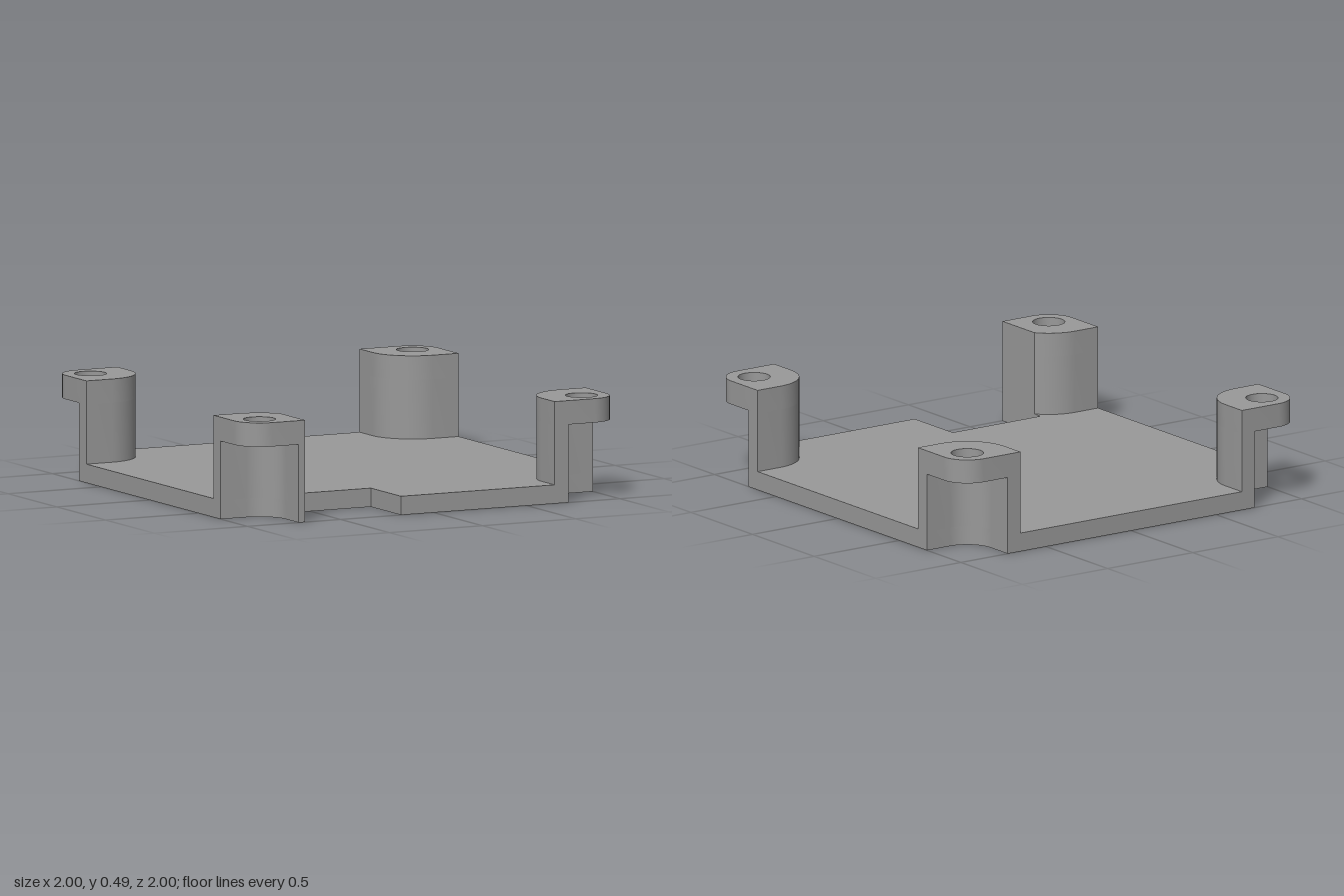
import * as THREE from 'three';
import { mergeGeometries, toCreasedNormals } from 'three/addons/utils/BufferGeometryUtils.js';

const FLOOR = 0.09, POCKET_TOP = 0.375, TOP = 0.49;
const C = 0.865;          // hole centre, measured along both axes
const OUTER = 0.215, INNER = 0.14, ROUND = 0.135, HOLE = 0.077;
const NOTCH = { x0: -0.69, x1: -0.175, z: 0.69 };

// Points are [x, z]; sign = -1 for faces looking up, 1 for faces looking down
function toShape(points, sign, hole) {
  const vec = (list) => list.map(([x, z]) => new THREE.Vector2(x, sign * z));
  const shape = new THREE.Shape(vec(points));
  if (hole) shape.holes.push(new THREE.Path(vec(hole)));
  return shape;
}

// Horizontal face at height y
function face(points, y, up, hole) {
  const g = new THREE.ShapeGeometry(toShape(points, up ? -1 : 1, hole)).toNonIndexed();
  return g.rotateX(up ? -Math.PI / 2 : Math.PI / 2).translate(0, y, 0);
}

// Upright walls around an outline, without caps
function walls(points, y0, y1, hole) {
  const full = new THREE.ExtrudeGeometry(toShape(points, -1, hole),
    { depth: y1 - y0, bevelEnabled: false, steps: 1 });
  const { start, count } = full.groups[1];
  const g = new THREE.BufferGeometry();
  for (const [name, size] of [['position', 3], ['normal', 3], ['uv', 2]]) {
    const data = full.attributes[name].array.slice(start * size, (start + count) * size);
    g.setAttribute(name, new THREE.BufferAttribute(data, size));
  }
  return toCreasedNormals(g.rotateX(-Math.PI / 2).translate(0, y0, 0), 0.5);
}

// Rounded inner edge of a corner, for the +x +z corner, cut off below uMin
function cornerEdge(r, uMin = 0) {
  const tMax = Math.asin(Math.min(1, (C - uMin) / r));
  const pts = [[1, C - r]];
  for (let i = 0; i <= 16; i++) {
    const t = (tMax * i) / 16;
    pts.push([C - r * Math.sin(t), C - r * Math.cos(t)]);
  }
  pts.push([Math.max(C - r, uMin), 1]);
  return pts;
}

const mirror = (pts, sx, sz) => pts.map(([u, v]) => [u * sx, v * sz]);
const corners = [[1, 1], [-1, 1], [-1, -1], [1, -1]];
const clipOf = (sx, sz) => (sx < 0 && sz > 0 ? -NOTCH.x0 : 0);

// Plate outline with rounded corner cut-outs and the front notch
function plateOutline(r) {
  const out = [];
  for (const [sx, sz] of corners) {
    const pts = mirror(cornerEdge(r, clipOf(sx, sz)), sx, sz);
    if (sx * sz < 0) pts.reverse();
    if (sx < 0 && sz > 0) {
      out.push([NOTCH.x1, 1], [NOTCH.x1, NOTCH.z], [NOTCH.x0, NOTCH.z]);
      if (r === INNER) out.push([NOTCH.x0, 1]);
      else pts.shift();
    }
    out.push(...pts);
  }
  return out;
}

export function createModel() {
  const model = new THREE.Group();
  const grey = new THREE.MeshStandardMaterial({ color: 0x999999 });
  grey.name = 'grey';

  function add(name, parts) {
    const mesh = new THREE.Mesh(mergeGeometries(parts), grey);
    mesh.name = name;
    model.add(mesh);
  }

  // Base plate: underside, rim and floor between the posts
  const foot = plateOutline(INNER);
  add('basePlate', [
    face(foot, 0, false),
    walls(foot, 0, FLOOR),
    face(plateOutline(OUTER), FLOOR, true),
  ]);

  // Shared corner curves
  const inner = cornerEdge(INNER);
  const rounded = [], hole = [];
  for (let i = 0; i <= 16; i++) {
    const t = (Math.PI / 2) * (i / 16);
    rounded.push([C + ROUND * Math.sin(t), C + ROUND * Math.cos(t)]);
  }
  for (let i = 0; i < 40; i++) {
    const t = (Math.PI * 2 * i) / 40;
    hole.push([C + HOLE * Math.cos(t), C + HOLE * Math.sin(t)]);
  }

  // Corner posts: curved wall around an open pocket, topped by a drilled cap
  for (const [sx, sz] of corners) {
    const place = (pts) => mirror(pts, sx, sz);
    const outer = cornerEdge(OUTER, clipOf(sx, sz));
    const band = place([...outer, ...[...inner].reverse()]);
    const cap = place([...outer, ...rounded]);
    const pocket = place([...inner, ...rounded]);
    const bore = place(hole);
    const label = (sz > 0 ? 'front' : 'back') + (sx > 0 ? 'Left' : 'Right');
    add(label + 'PostWall', [walls(band, FLOOR, POCKET_TOP)]);
    add(label + 'PostCap', [
      walls(cap, POCKET_TOP, TOP, bore),
      face(cap, TOP, true, bore),
      face(pocket, POCKET_TOP, false, bore),
    ]);
  }
  return model;
}
